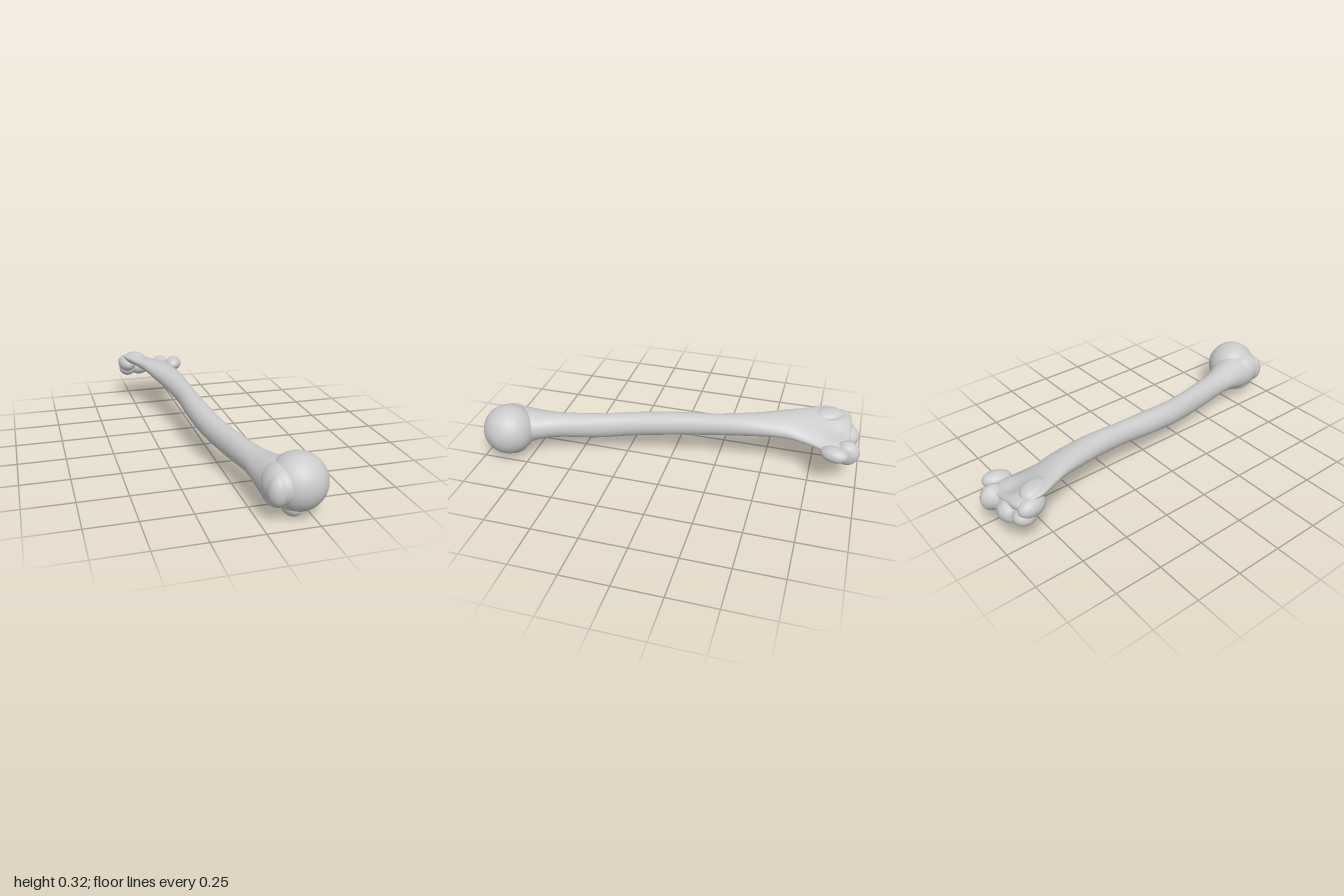
import * as THREE from 'three';

const material = new THREE.MeshStandardMaterial({ color: 0xcccccc });

// Shaft sections: z, centre x, centre y, half width, half height, tilt
const SECTIONS = [
  [0.95, 0.12, 0.16, 0.0, 0.0, 0],
  [0.94, 0.12, 0.16, 0.07, 0.075, 0],
  [0.88, 0.12, 0.155, 0.1, 0.1, 0],
  [0.8, 0.122, 0.155, 0.107, 0.1, 0],
  [0.7, 0.102, 0.163, 0.092, 0.075, 0],
  [0.6, 0.075, 0.163, 0.07, 0.068, 0],
  [0.4, 0.03, 0.165, 0.06, 0.07, 0],
  [0.2, -0.015, 0.183, 0.06, 0.067, 0],
  [0.0, -0.04, 0.205, 0.06, 0.065, 0],
  [-0.2, -0.055, 0.225, 0.055, 0.06, 0],
  [-0.4, -0.078, 0.245, 0.068, 0.059, -0.1],
  [-0.6, -0.116, 0.26, 0.095, 0.05, -0.25],
  [-0.7, -0.138, 0.256, 0.118, 0.041, -0.3],
  [-0.8, -0.15, 0.25, 0.152, 0.036, -0.3],
  [-0.87, -0.128, 0.235, 0.17, 0.034, -0.28],
  [-0.93, -0.125, 0.22, 0.14, 0.028, -0.25],
  [-0.94, -0.125, 0.22, 0.0, 0.0, -0.25],
];

// Loft of tilted ovals, hollowed above and below near the elbow end
function shaftGeometry(rings = 160, sides = 48) {
  const centres = new THREE.CatmullRomCurve3(
    SECTIONS.map(([z, x, y]) => new THREE.Vector3(x, y, z)), false, 'catmullrom', 0.5);
  const sizes = new THREE.CatmullRomCurve3(
    SECTIONS.map((s) => new THREE.Vector3(s[3], s[4], s[5])), false, 'catmullrom', 0.5);
  const positions = [];
  const indices = [];
  for (let i = 0; i <= rings; i++) {
    const c = centres.getPoint(i / rings);
    const s = sizes.getPoint(i / rings);
    const rx = Math.max(s.x, 0);
    const ry = Math.max(s.y, 0);
    for (let j = 0; j < sides; j++) {
      const a = (j / sides) * Math.PI * 2;
      const u = rx * Math.cos(a);
      const v = ry * Math.sin(a);
      const x = c.x + u * Math.cos(s.z) - v * Math.sin(s.z);
      let y = c.y + u * Math.sin(s.z) + v * Math.cos(s.z);
      const pit = Math.exp(-(((x + 0.12) / 0.06) ** 2) - ((c.z + 0.87) / 0.06) ** 2);
      y -= Math.sin(a) * pit * 0.024;
      positions.push(x, y, c.z);
      if (i < rings) {
        const k = (j + 1) % sides;
        const p = i * sides;
        const q = p + sides;
        indices.push(p + j, q + j, p + k, q + j, q + k, p + k);
      }
    }
  }
  const geometry = new THREE.BufferGeometry();
  geometry.setAttribute('position', new THREE.Float32BufferAttribute(positions, 3));
  geometry.setIndex(indices);
  geometry.computeVertexNormals();
  return geometry;
}

export function createModel() {
  const group = new THREE.Group();
  group.name = 'armBone';

  function add(name, geometry) {
    const mesh = new THREE.Mesh(geometry, material);
    mesh.name = name;
    group.add(mesh);
    return mesh;
  }

  // Rounded knob: centre, radii, rotation
  function knob(name, centre, radii, rotation = [0, 0, 0]) {
    const mesh = add(name, new THREE.SphereGeometry(1, 40, 28));
    mesh.position.set(...centre);
    mesh.scale.set(...radii);
    mesh.rotation.set(...rotation);
  }

  add('shaft', shaftGeometry());

  // Shoulder end
  knob('head', [0.19, 0.163, 0.862], [0.137, 0.136, 0.138]);
  knob('greaterTubercle', [0.107, 0.165, 0.87], [0.09, 0.096, 0.112]);
  knob('tubercleCorner', [0.075, 0.16, 0.925], [0.052, 0.075, 0.055]);
  knob('lesserTubercle', [0.165, 0.052, 0.86], [0.05, 0.051, 0.075]);
  knob('lesserTubercleRidge', [0.21, 0.07, 0.85], [0.07, 0.045, 0.07], [0, 0, 0.45]);
  knob('tubercleFoot', [0.085, 0.1, 0.84], [0.05, 0.045, 0.1]);

  // Elbow end
  knob('lateralRidge', [-0.228, 0.282, -0.81], [0.058, 0.036, 0.085], [0, 0.35, 0]);
  knob('lateralEpicondyle', [-0.277, 0.24, -0.86], [0.049, 0.05, 0.075], [0, 0.2, 0]);
  knob('lateralCondyle', [-0.268, 0.195, -0.895], [0.05, 0.044, 0.058]);
  knob('medialEpicondyle', [0.03, 0.212, -0.87], [0.048, 0.04, 0.072], [0, -0.25, 0]);

  // Spool-shaped joint surface lying across the end
  const profile = new THREE.SplineCurve([
    [0, -0.13], [0.035, -0.122], [0.052, -0.085], [0.05, -0.055], [0.038, -0.02],
    [0.042, 0.015], [0.062, 0.05], [0.067, 0.07], [0.055, 0.1], [0.03, 0.115], [0, 0.12],
  ].map(([r, y]) => new THREE.Vector2(r, y)));
  const points = profile.getPoints(50).map((p) => new THREE.Vector2(Math.max(p.x, 0), p.y));
  const spool = add('trochlea', new THREE.LatheGeometry(points, 48));
  spool.position.set(-0.115, 0.187, -0.932);
  spool.rotation.z = -Math.PI / 2 - 0.08;

  return group;
}
